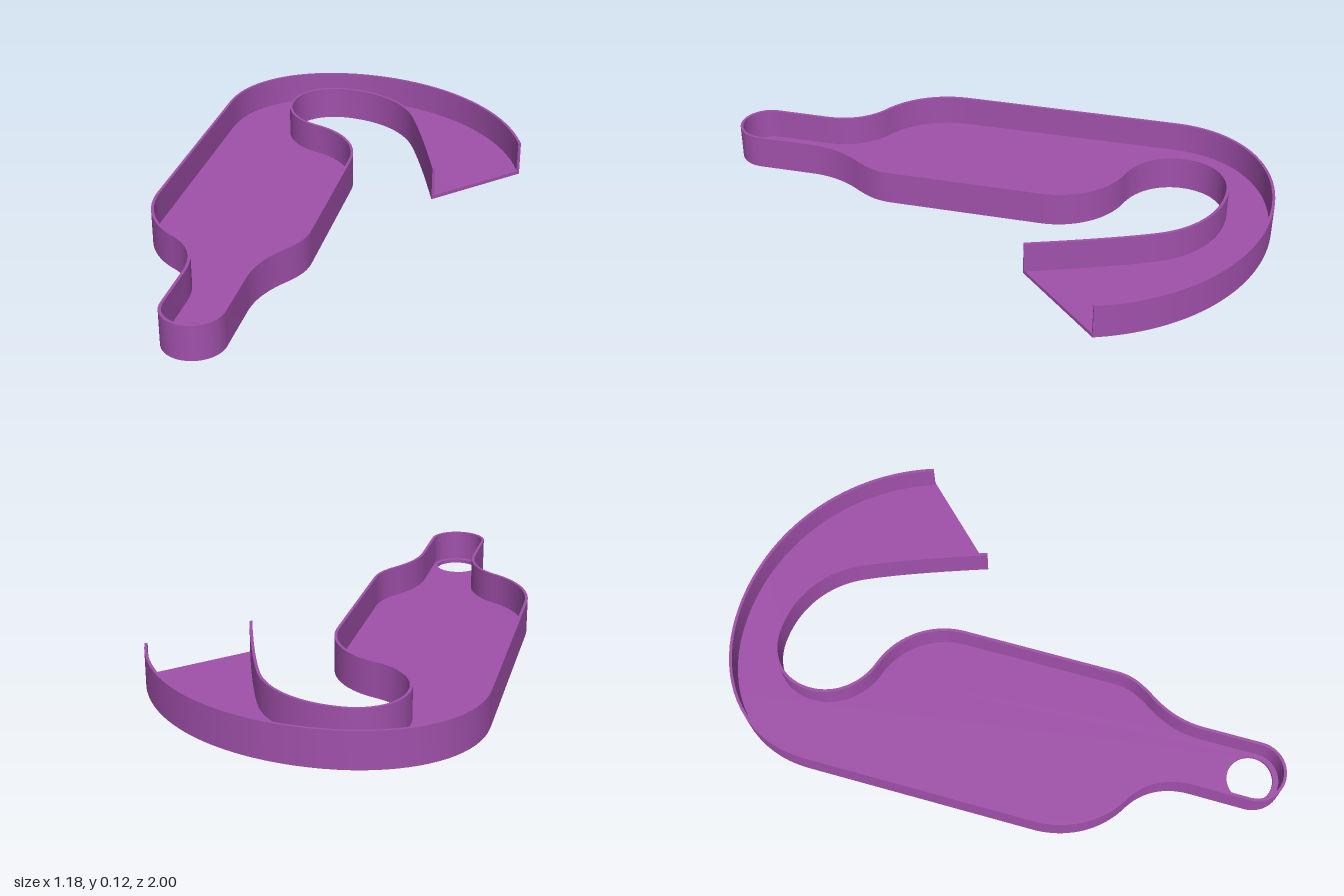
import * as THREE from 'three';
import { toCreasedNormals } from 'three/addons/utils/BufferGeometryUtils.js';

const HEIGHT = 0.125, FLOOR = 0.013, WALL = 0.01;

// Outline from the outer tip of the hook, counter-clockwise to its inner tip (y of the path is -z)
function outlinePoints() {
  const p = new THREE.Path();
  p.moveTo(0.617, 0.317);
  p.absarc(-0.15, 0.255, 0.745, 0.326, Math.PI / 2);              // outer hook
  p.bezierCurveTo(-0.42, 1, -0.62, 0.84, -0.62, 0.6);             // back shoulder
  p.lineTo(-0.62, -0.21);
  p.bezierCurveTo(-0.62, -0.33, -0.56, -0.44, -0.46, -0.497);     // taper to the neck
  p.bezierCurveTo(-0.39, -0.54, -0.352, -0.61, -0.352, -0.7);
  p.absarc(-0.248, -0.895, 0.105, Math.PI, Math.PI * 2);          // eyelet end
  p.lineTo(-0.143, -0.69);
  p.bezierCurveTo(-0.143, -0.61, -0.115, -0.545, -0.074, -0.487);
  p.bezierCurveTo(-0.04, -0.435, -0.026, -0.4, -0.026, -0.345);
  p.lineTo(-0.026, 0.2);
  p.absarc(-0.306, 0.2, 0.28, 0, 1.27);                           // rounded shoulder
  p.bezierCurveTo(-0.31, 0.495, -0.372, 0.57, -0.372, 0.66);      // throat of the hook
  p.bezierCurveTo(-0.372, 0.76, -0.3, 0.828, -0.2, 0.828);
  p.bezierCurveTo(-0.07, 0.828, 0.05, 0.76, 0.111, 0.635);
  p.quadraticCurveTo(0.175, 0.5, 0.275, 0.206);
  const pts = [];
  for (const q of p.getPoints(20)) {
    if (!pts.length || q.distanceTo(pts[pts.length - 1]) > 0.003) pts.push(q);
  }
  return pts;
}

// Shift an open line of points to its left
function offset(pts, d) {
  return pts.map((p, i) => {
    const a = pts[Math.max(i - 1, 0)], b = pts[Math.min(i + 1, pts.length - 1)];
    const t = b.clone().sub(a).normalize();
    return new THREE.Vector2(p.x - t.y * d, p.y + t.x * d);
  });
}

function slab(name, shape, y, depth, material) {
  const geo = new THREE.ExtrudeGeometry(shape, { depth, bevelEnabled: false, curveSegments: 32 });
  geo.rotateX(-Math.PI / 2);
  geo.translate(0, y, 0);
  const mesh = new THREE.Mesh(toCreasedNormals(geo, 0.5), material);
  mesh.name = name;
  return mesh;
}

export function createModel() {
  const group = new THREE.Group();
  group.name = 'hookTray';
  const material = new THREE.MeshStandardMaterial({ color: 0xa050aa });
  const pts = outlinePoints();

  // Thin floor with the eyelet hole
  const floor = new THREE.Shape(pts);
  floor.holes.push(new THREE.Path().absarc(-0.248, -0.89, 0.08, 0, Math.PI * 2, true));
  group.add(slab('floor', floor, 0, FLOOR, material));

  // Thin upright wall, open at the tip of the hook
  const wall = new THREE.Shape([...pts, ...offset(pts, WALL).reverse()]);
  group.add(slab('wall', wall, FLOOR, HEIGHT - FLOOR, material));

  return group;
}
